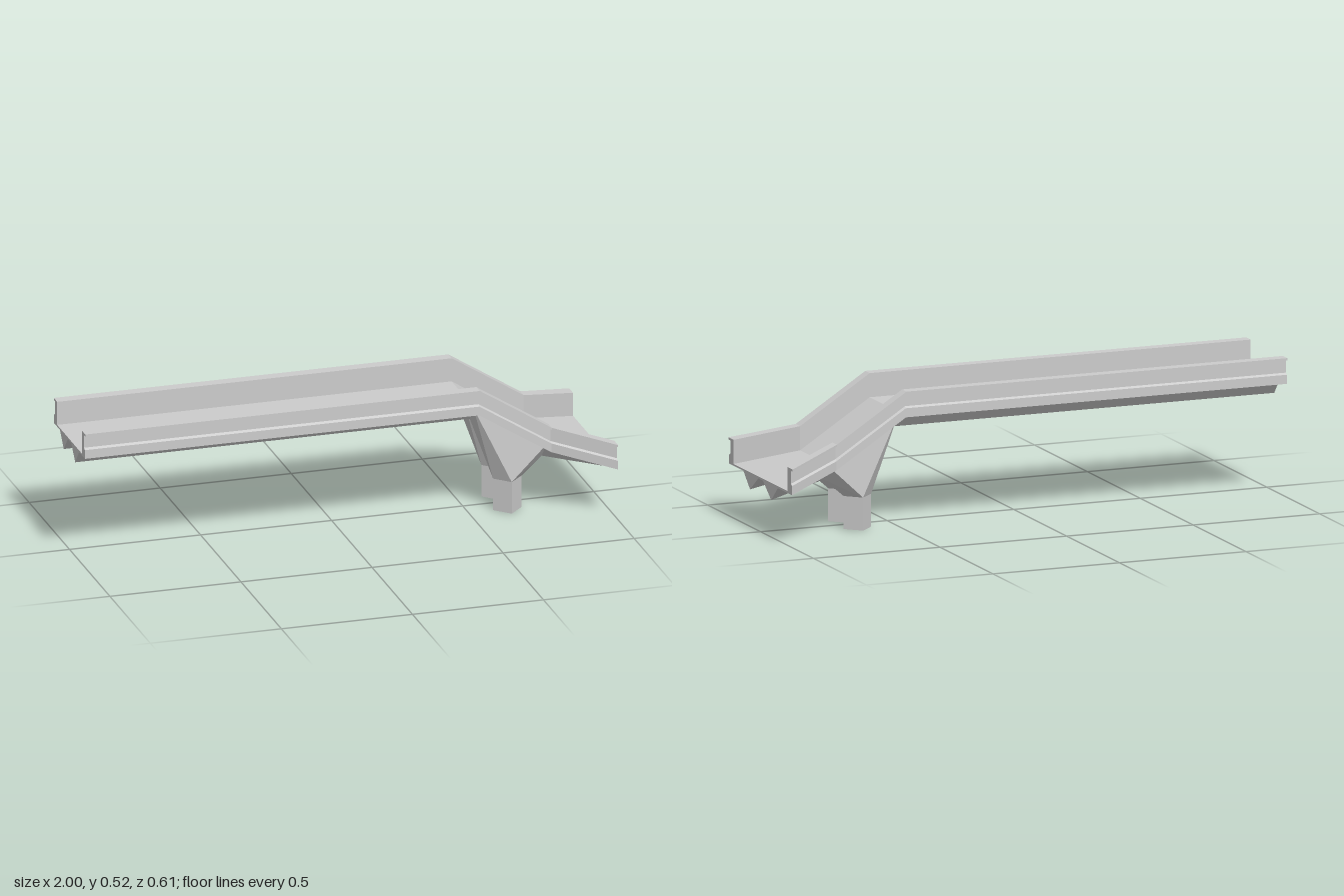
import * as THREE from 'three';
import { ConvexGeometry } from 'three/addons/geometries/ConvexGeometry.js';

// Stations along the chute: x, drop in y, flare (0 narrow, 1 wide)
const STATIONS = [[-1, 0, 0], [0.505, 0, 0], [0.78, -0.175, 0], [1, -0.228, 1]];

// Half sections as [z narrow, z wide, y]
const RAIL = [
  [0.153, 0.255, 0.43], [0.153, 0.255, 0.52], [0.195, 0.303, 0.52], [0.195, 0.303, 0.512],
  [0.18, 0.286, 0.512], [0.18, 0.286, 0.463], [0.19, 0.297, 0.457], [0.19, 0.297, 0.423],
];
const RIB = [[0.021, 0.021, 0.423], [0.118, 0.163, 0.423], [0.071, 0.1, 0.366]];

const mirror = (section) => section.map(([n, w, y]) => [-n, -w, y]).reverse();

// Place a section at a station
function ringAt(section, [x, drop, flare]) {
  return section.map(([n, w, y]) => new THREE.Vector3(x, y + drop, n + (w - n) * flare));
}

// Join rings along +x and close both ends
function loft(section, stations) {
  const rings = stations.map((s) => ringAt(section, s));
  const pos = [];
  const tri = (...pts) => pts.forEach((p) => pos.push(p.x, p.y, p.z));
  for (let k = 0; k < rings.length - 1; k++) {
    const a = rings[k], b = rings[k + 1];
    for (let i = 0; i < a.length; i++) {
      const j = (i + 1) % a.length;
      tri(a[i], a[j], b[j]);
      tri(a[i], b[j], b[i]);
    }
  }
  const cap = (ring, facing) => {
    const flat = ring.map((p) => new THREE.Vector2(p.z, p.y));
    for (const [i, j, k] of THREE.ShapeUtils.triangulateShape(flat, [])) {
      const area = THREE.ShapeUtils.area([flat[i], flat[j], flat[k]]);
      if (area * facing < 0) tri(ring[i], ring[j], ring[k]);
      else tri(ring[i], ring[k], ring[j]);
    }
  };
  cap(rings[0], -1);
  cap(rings[rings.length - 1], 1);
  const geo = new THREE.BufferGeometry();
  geo.setAttribute('position', new THREE.Float32BufferAttribute(pos, 3));
  geo.computeVertexNormals();
  return geo;
}

export function createModel() {
  const model = new THREE.Group();
  model.name = 'chute';
  const material = new THREE.MeshStandardMaterial({ color: 0xcccccc, flatShading: true });
  const add = (name, geo, parent = model) => {
    const mesh = new THREE.Mesh(geo, material);
    mesh.name = name;
    parent.add(mesh);
    return mesh;
  };

  // Floor and flanged side rails in one sweep
  add('trough', loft([...RAIL, ...mirror(RAIL)], STATIONS));

  const legX = 0.648, legZ = 0.0725, legR = 0.0545, legH = 0.123;
  for (const side of [1, -1]) {
    const label = side > 0 ? 'front' : 'back';
    const rib = side > 0 ? RIB : mirror(RIB);

    // V-shaped ribs under the level run and the flared end
    add(label + 'LongRib', loft(rib, STATIONS.slice(0, 2)));
    add(label + 'EndRib', loft(rib, STATIONS.slice(2)));

    // Diamond leg with a bracket spreading up to the rib ends
    const support = new THREE.Group();
    support.name = label + 'Support';
    model.add(support);
    add(label + 'Leg', new THREE.CylinderGeometry(legR, legR, legH, 4), support)
      .position.set(legX, legH / 2, side * legZ);
    const points = [...ringAt(rib, STATIONS[1]), ...ringAt(rib, STATIONS[2])];
    for (const [dx, dz] of [[1, 0], [-1, 0], [0, 1], [0, -1]]) {
      points.push(new THREE.Vector3(legX + dx * legR, legH, side * legZ + dz * legR));
    }
    add(label + 'Bracket', new ConvexGeometry(points), support);
  }
  return model;
}
